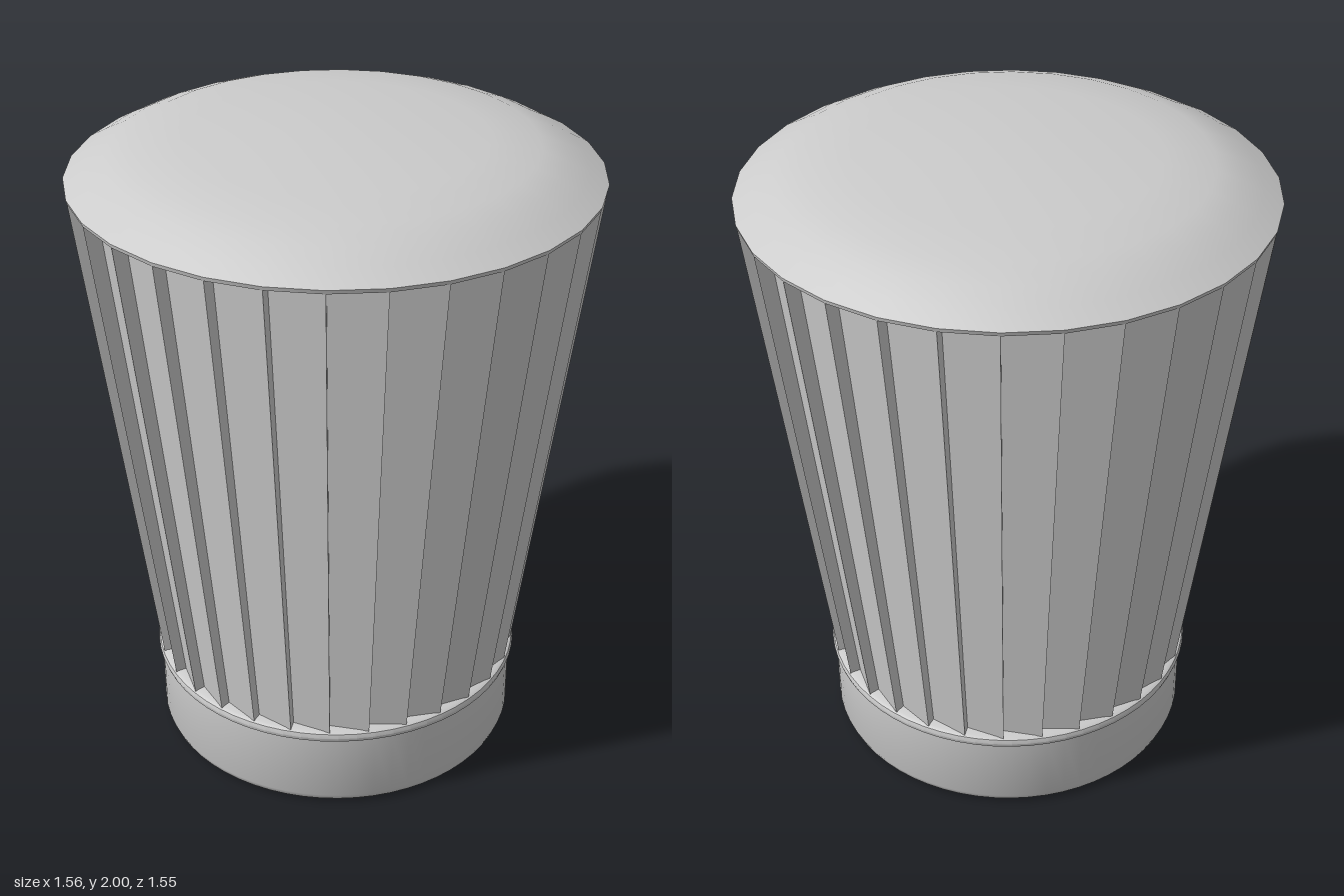
import * as THREE from 'three';
import { toCreasedNormals } from 'three/addons/utils/BufferGeometryUtils.js';

const PLEATS = 30;
const grey = new THREE.MeshStandardMaterial({ color: 0xcccccc, side: THREE.DoubleSide });

// Revolved part from [radius, height] pairs, with sharp corners kept
function lathe(name, profile, segments, phiStart = 0) {
  const points = profile.map(([r, y]) => new THREE.Vector2(r, y));
  const geometry = toCreasedNormals(new THREE.LatheGeometry(points, segments, phiStart), 0.6);
  const mesh = new THREE.Mesh(geometry, grey);
  mesh.name = name;
  return mesh;
}

// Tapered wall of overlapping pleats: each panel slopes inward, then steps back out
function pleatedWall() {
  const bottom = { y: 0.28, r: 0.572 }, top = { y: 1.86, r: 0.775 };
  const positions = [];
  const point = (level, angle, depth) => {
    const r = level.r - depth * level.r;
    return [r * Math.cos(angle), level.y, r * Math.sin(angle)];
  };
  const quad = (a, b, c, d) => positions.push(...a, ...b, ...c, ...a, ...c, ...d);
  const fold = 0.06;
  for (let i = 0; i < PLEATS; i++) {
    const a0 = (i / PLEATS) * Math.PI * 2, a1 = ((i + 1) / PLEATS) * Math.PI * 2;
    // Panel
    quad(point(bottom, a1, fold), point(bottom, a0, 0), point(top, a0, 0), point(top, a1, fold));
    // Step of the fold
    quad(point(bottom, a0, 0), point(bottom, a0, fold), point(top, a0, fold), point(top, a0, 0));
  }
  const geometry = new THREE.BufferGeometry();
  geometry.setAttribute('position', new THREE.Float32BufferAttribute(positions, 3));
  geometry.computeVertexNormals();
  const mesh = new THREE.Mesh(geometry, grey);
  mesh.name = 'pleatedWall';
  return mesh;
}

export function createModel() {
  const model = new THREE.Group();
  model.name = 'pleatedHat';

  model.add(pleatedWall());

  // Low dome with a flat underside, its corners lined up with the pleats
  model.add(lathe('domedTop', [
    [0, 1.86], [0.775, 1.86], [0.778, 1.872], [0.72, 1.905], [0.66, 1.935], [0.585, 1.963],
    [0.44, 1.978], [0.3, 1.99], [0.15, 1.997], [0, 2],
  ], PLEATS, Math.PI / PLEATS));

  // Head band with rounded lower lip and a bead along its upper edge
  model.add(lathe('headBand', [
    [0.52, 0.03], [0.525, 0.01], [0.535, 0], [0.55, 0.002], [0.56, 0.012], [0.567, 0.03],
    [0.567, 0.245], [0.575, 0.25], [0.579, 0.263], [0.575, 0.276], [0.565, 0.282], [0.52, 0.282],
  ], 64));

  // Faceted lining and its closed ceiling
  model.add(lathe('lining', [[0, 0.35], [0.522, 0.35], [0.522, 0.02]], PLEATS, Math.PI / PLEATS));
  const lining = model.getObjectByName('lining');
  lining.geometry.computeVertexNormals();

  return model;
}
